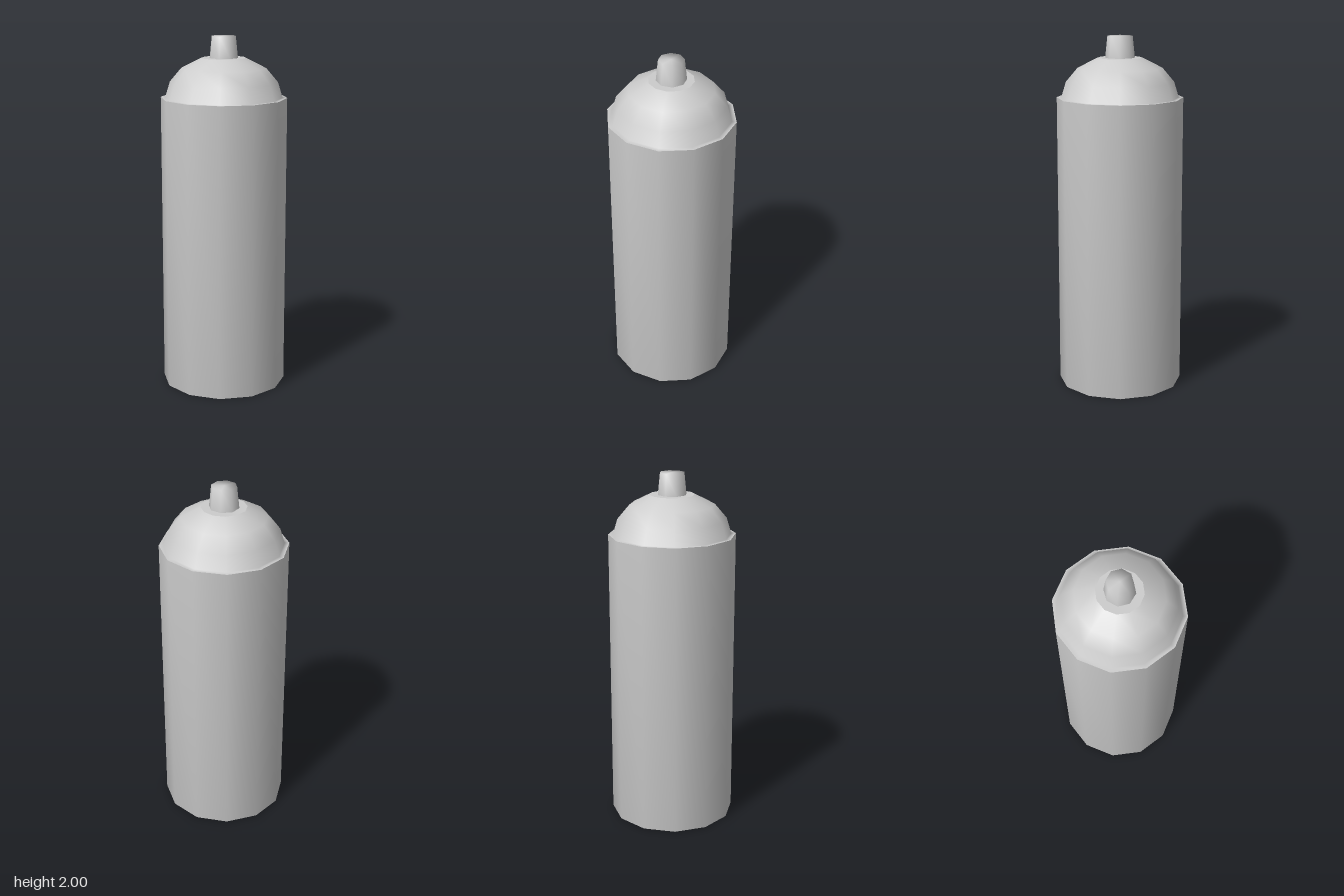
import * as THREE from 'three';
import { mergeVertices } from 'three/addons/utils/BufferGeometryUtils.js';

const material = new THREE.MeshStandardMaterial({ color: 0xcccccc });

// Revolve [radius, height] points around the y axis, listed from bottom to top
function revolve(points, sides) {
  return new THREE.LatheGeometry(points.map(([r, y]) => new THREE.Vector2(r, y)), sides);
}

// Weld the seam and cap so the whole part shades as one smooth surface
function weld(geometry) {
  geometry.deleteAttribute('uv');
  geometry.deleteAttribute('normal');
  const welded = mergeVertices(geometry, 1e-4);
  welded.computeVertexNormals();
  return welded;
}

export function createModel() {
  const group = new THREE.Group();
  const add = (name, geometry) => {
    const mesh = new THREE.Mesh(geometry, material);
    mesh.name = name;
    group.add(mesh);
    return mesh;
  };

  // Twelve-sided can with a closed base
  add('canBody', weld(revolve([[0, 0], [0.354, 0], [0.354, 1.66]], 12)));

  // Narrow shoulder rim running into the rounded top
  add('dome', revolve(
    [[0.354, 1.66], [0.328, 1.66], [0.302, 1.746], [0.236, 1.824], [0.125, 1.88]], 12));

  // Flat plate around the nozzle
  const plate = add('topPlate', new THREE.CircleGeometry(0.125, 12));
  plate.rotation.x = -Math.PI / 2;
  plate.position.y = 1.88;

  // Tapered eight-sided spray nozzle
  add('nozzle', weld(revolve([[0.083, 1.875], [0.07, 2], [0, 2]], 8)));

  return group;
}
